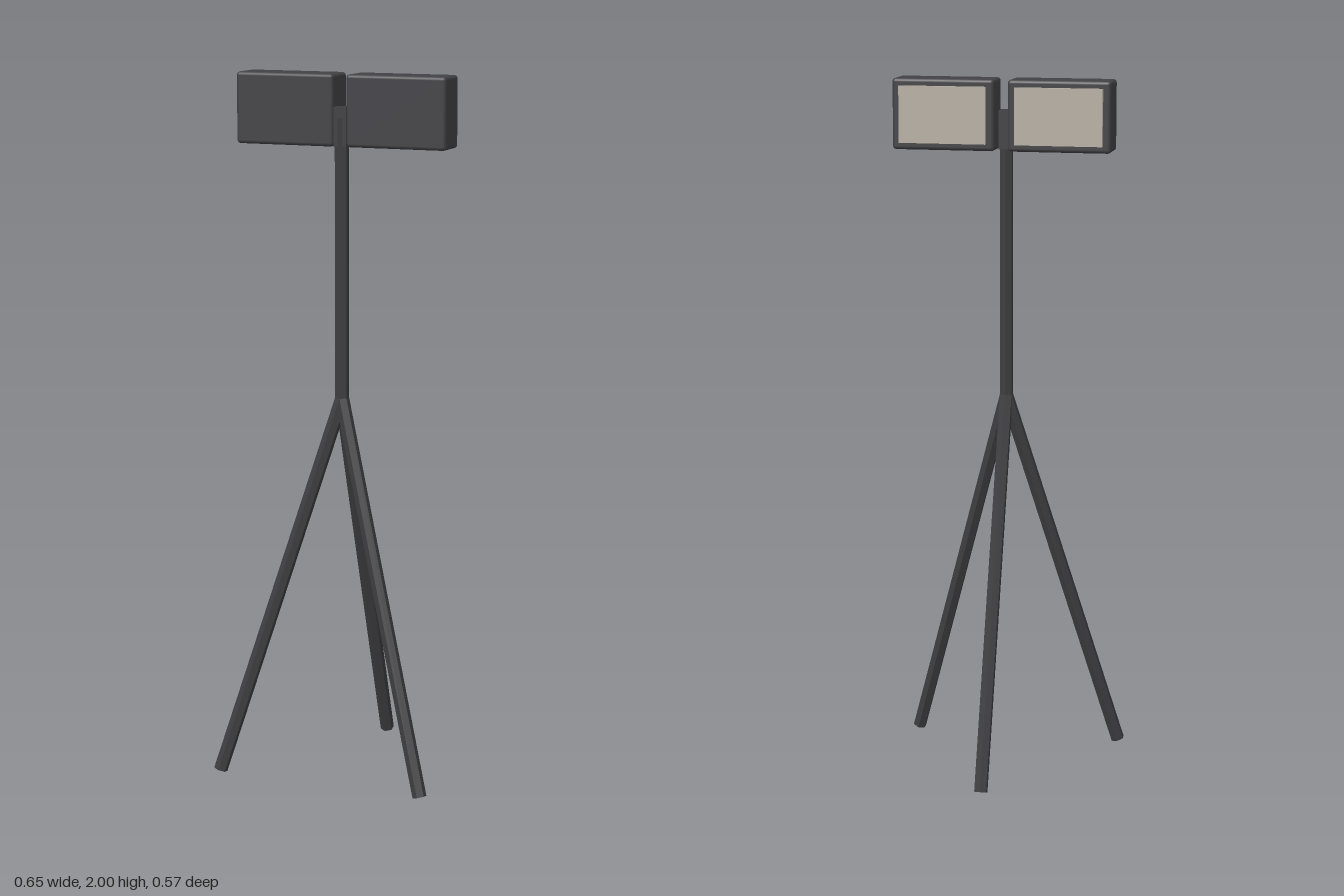
import * as THREE from 'three';
import { RoundedBoxGeometry } from 'three/addons/geometries/RoundedBoxGeometry.js';

export function createModel() {
  const model = new THREE.Group();
  model.name = 'workLightTripod';

  const metal = new THREE.MeshStandardMaterial({ color: 0x3e3e42, flatShading: true });
  metal.name = 'dark metal';
  const housing = new THREE.MeshStandardMaterial({ color: 0x424246 });
  housing.name = 'lamp housing';
  const lens = new THREE.MeshStandardMaterial({ color: 0xb8b0a4 });
  lens.name = 'pale lens';

  const add = (name, geometry, material, x, y, z) => {
    const mesh = new THREE.Mesh(geometry, material);
    mesh.name = name;
    mesh.position.set(x, y, z);
    model.add(mesh);
    return mesh;
  };

  const poleZ = 0.09, hubY = 1.09, radius = 0.02;

  // Three six-sided legs spread evenly from the hub, one pointing back
  const spread = 0.355, footY = 0.006;
  const drop = hubY - footY;
  const legGeometry = new THREE.CylinderGeometry(radius, radius, Math.hypot(spread, drop), 6);
  ['backLeg', 'rightLeg', 'leftLeg'].forEach((name, i) => {
    const angle = Math.PI + i * Math.PI * 2 / 3;
    const leg = add(name, legGeometry, metal,
      Math.sin(angle) * spread / 2, (hubY + footY) / 2, poleZ + Math.cos(angle) * spread / 2);
    leg.rotation.order = 'YXZ';
    leg.rotation.set(-Math.atan2(spread, drop), angle, 0);
  });

  // Upright pole and the bracket that joins the lamps
  add('pole', new THREE.CylinderGeometry(radius, radius, 1.88 - hubY + 0.01, 6), metal,
    0, (1.88 + hubY - 0.01) / 2, poleZ);
  add('bracket', new THREE.BoxGeometry(0.038, 0.11, 0.035), metal, 0, 1.855, 0.0875);

  // A pair of lamps, each with a raised lens on its back
  for (const [side, sign] of [['left', 1], ['right', -1]]) {
    add(side + 'LampHousing', new RoundedBoxGeometry(0.293, 0.2, 0.104, 2, 0.01), housing,
      sign * 0.1655, 1.9, 0.059);
    add(side + 'Lens', new THREE.BoxGeometry(0.249, 0.16, 0.016), lens,
      sign * 0.1655, 1.9, 0.002);
  }
  return model;
}
